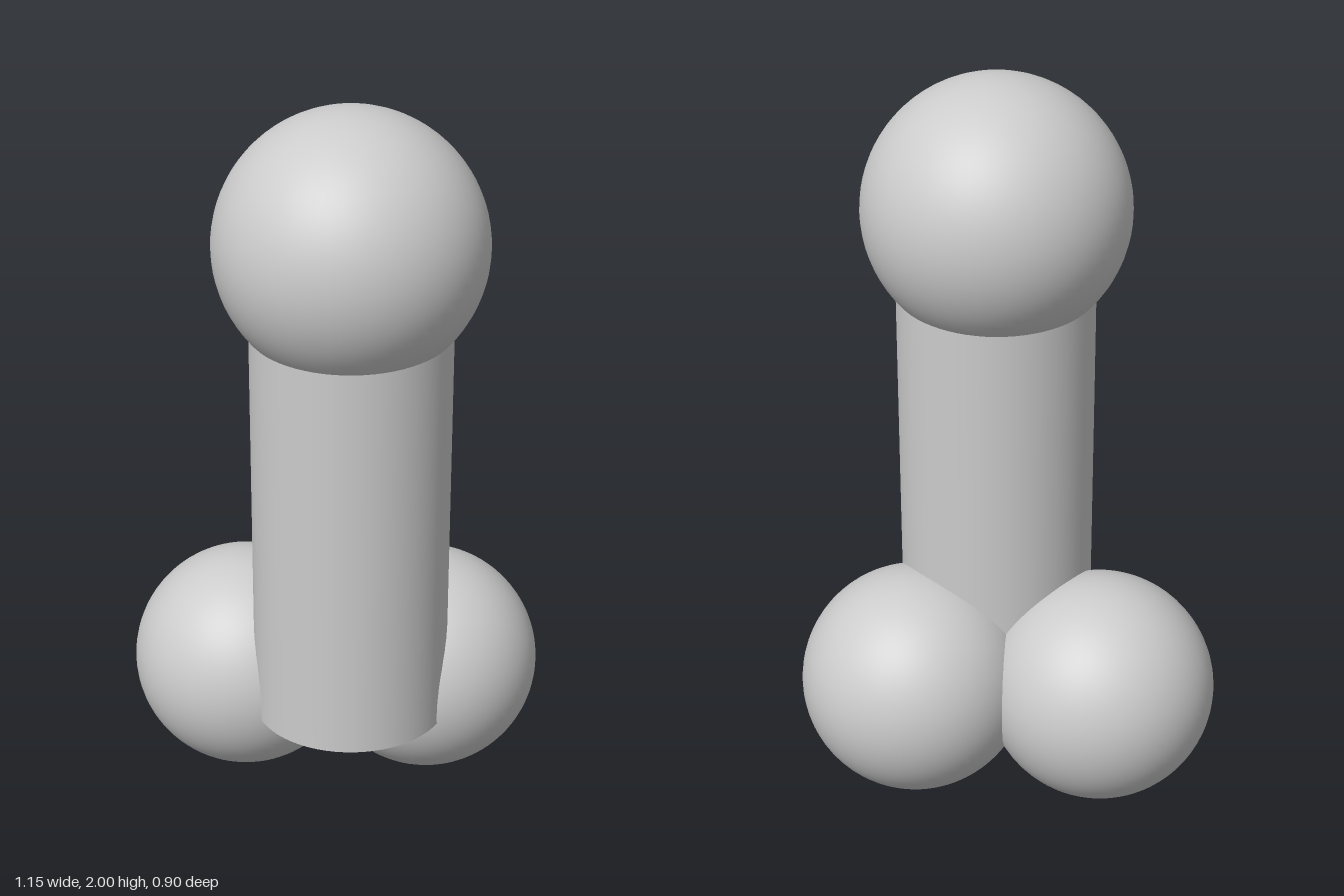
import * as THREE from 'three';

export function createModel() {
  const model = new THREE.Group();
  const material = new THREE.MeshStandardMaterial({ color: 0xcccccc });

  const add = (name, geometry, x, y, z) => {
    const mesh = new THREE.Mesh(geometry, material);
    mesh.name = name;
    mesh.position.set(x, y, z);
    model.add(mesh);
    return mesh;
  };
  const ball = (name, radius, x, y, z) =>
    add(name, new THREE.SphereGeometry(radius, 64, 40), x, y, z);

  // Upright column, slightly oval, its top hidden inside the upper ball
  const bottom = 0.286, top = 1.5;
  const column = add('column', new THREE.CylinderGeometry(1, 1, top - bottom, 64),
    0.032, (top + bottom) / 2, 0.092);
  column.scale.set(0.266, 1, 0.257);

  // Large ball on top of the column
  ball('topBall', 0.356, 0.03, 1.644, 0.09);

  // Two balls at the base, behind the column
  ball('rightBaseBall', 0.317, -0.258, 0.317, -0.133);
  ball('leftBaseBall', 0.317, 0.255, 0.317, -0.1);

  return model;
}
